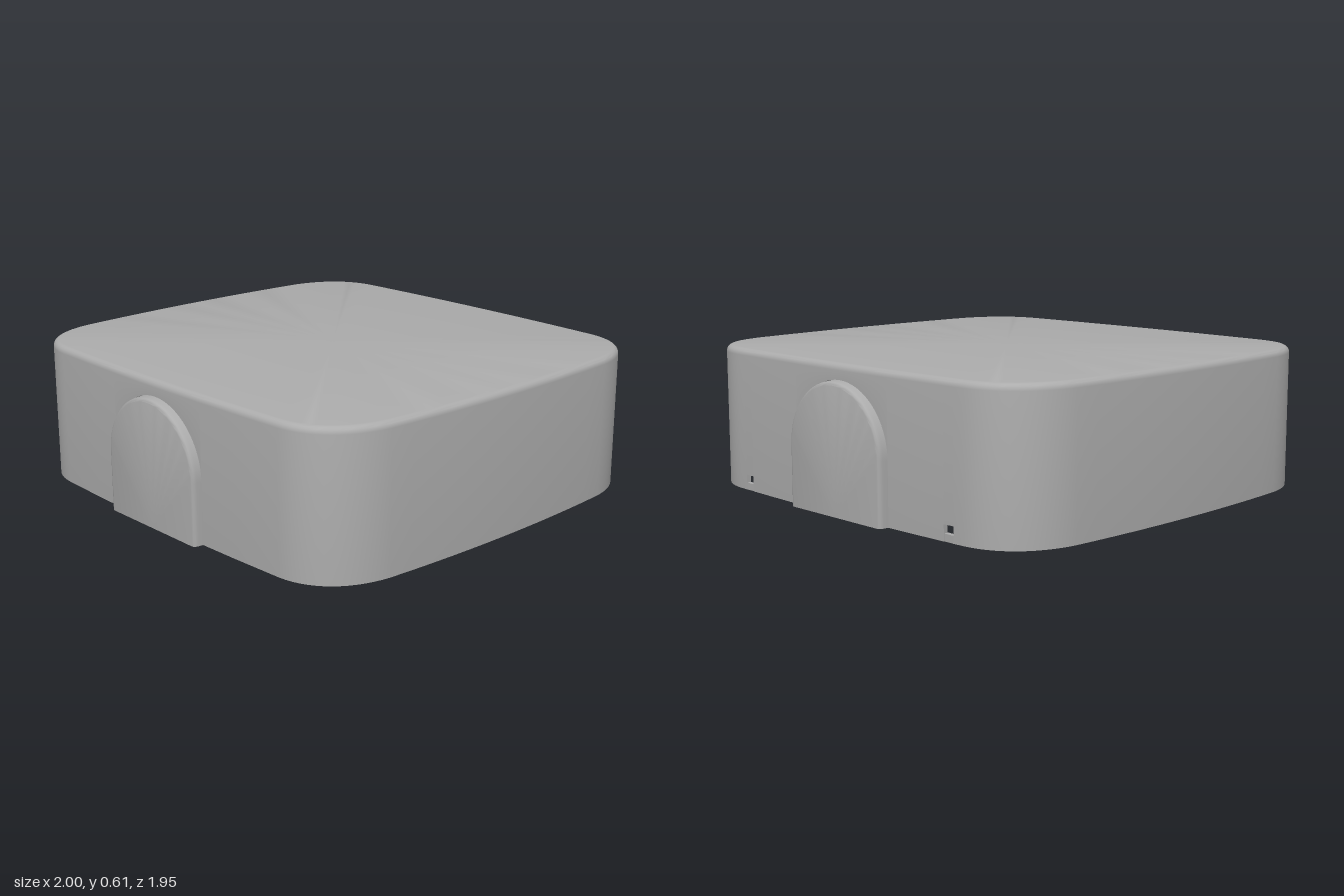
import * as THREE from 'three';
import { toCreasedNormals } from 'three/addons/utils/BufferGeometryUtils.js';

const grey = new THREE.MeshStandardMaterial({ color: 0xacacac });
grey.name = 'plain grey';

const H = 0.605, WALL = 0.02, FILLET = 0.028;
const ARCH_X = -0.015, ARCH_R = 0.28, ARCH_LEG = 0.26;
const CEILING = H - WALL;

function mesh(name, geometry, parent, x = 0, y = 0, z = 0) {
  const m = new THREE.Mesh(geometry, grey);
  m.name = name;
  m.position.set(x, y, z);
  parent.add(m);
  return m;
}

// Skin a grid of points: columns of equal length, optionally wrapping round
function loft(columns, closed) {
  const rows = columns[0].length, n = columns.length, index = [];
  for (let i = 0; i < (closed ? n : n - 1); i++) {
    for (let j = 0; j < rows - 1; j++) {
      const a = i * rows + j, b = ((i + 1) % n) * rows + j;
      index.push(a, b, b + 1, a, b + 1, a + 1);
    }
  }
  const g = new THREE.BufferGeometry();
  g.setAttribute('position', new THREE.Float32BufferAttribute(columns.flat(2), 3));
  g.setIndex(index);
  return toCreasedNormals(g, 0.6);
}

// Long wall, left to right: entries are x, z and the height of its lower edge
function longWall(vents) {
  const run = [];
  const add = (x, y0) => run.push({ x, z: 0.937 - 0.017 * (x / 0.69) ** 2, y0 });
  const vent = (x) => {
    add(x - 0.025, 0); add(x - 0.025, 0.065);
    add(x + 0.025, 0.065); add(x + 0.025, 0);
  };
  add(-0.69, 0);
  if (vents) vent(-0.62);
  add(-0.45, 0);
  add(ARCH_X - ARCH_R, 0);
  for (let i = 0; i <= 32; i++) {
    const a = Math.PI * i / 32;
    add(ARCH_X - ARCH_R * Math.cos(a), ARCH_LEG + ARCH_R * Math.sin(a));
  }
  add(ARCH_X + ARCH_R, 0);
  add(0.45, 0);
  if (vents) vent(0.62);
  add(0.69, 0);
  return run;
}

// Hollow lid, open below, with gently bowed sides and notches for arches and vents
function shellGeometry() {
  const corner = new THREE.CubicBezierCurve(
    new THREE.Vector2(0.69, 0.92), new THREE.Vector2(0.855, 0.911),
    new THREE.Vector2(0.955, 0.79), new THREE.Vector2(0.975, 0.62)
  ).getPoints(14).slice(1).map((p) => ({ x: p.x, z: p.y, y0: 0 }));
  const half = [...corner];
  for (let i = 1; i <= 6; i++) {
    const z = 0.62 * (1 - i / 6);
    half.push({ x: 1 - 0.025 * (z / 0.62) ** 2, z, y0: 0 });
  }
  const right = [...half, ...half.slice(0, -1).reverse().map((p) => ({ ...p, z: -p.z }))];
  const left = [...right].reverse().map((p) => ({ ...p, x: -p.x }));
  const back = longWall(true).reverse().map((p) => ({ ...p, z: -p.z }));
  const ring = [...longWall(false), ...right, ...back, ...left];
  const n = ring.length;

  const neighbour = (i, step) => {
    let k = i, p = ring[i];
    do { k = (k + step + n) % n; } while (Math.hypot(ring[k].x - p.x, ring[k].z - p.z) < 1e-6);
    return ring[k];
  };
  const columns = ring.map((p, i) => {
    const a = neighbour(i, -1), b = neighbour(i, 1);
    const len = Math.hypot(b.x - a.x, b.z - a.z);
    const nx = -(b.z - a.z) / len, nz = (b.x - a.x) / len;
    const at = (inset, y) => [p.x - nx * inset, y, p.z - nz * inset];
    const column = [[0, CEILING, 0], at(WALL, CEILING), at(WALL, p.y0), at(0, p.y0)];
    for (let k = 0; k <= 5; k++) {
      const t = Math.PI / 2 * k / 5;
      column.push(at(FILLET * (1 - Math.cos(t)), H - FILLET * (1 - Math.sin(t))));
    }
    column.push([0, H, 0]);
    return column;
  });
  return loft(columns, true);
}

// Hollow arched bulge, rounded towards its front face
function archCover(name, cx, parent) {
  const group = new THREE.Group();
  group.name = name;
  parent.add(group);
  const profile = [[WALL, 0.957], [WALL, 0.912], [0, 0.912], [0.003, 0.955],
    [0.006, 0.967], [0.011, 0.973], [0.018, 0.975]];
  const column = (angle, base) => [
    [cx, 0, 0.957],
    ...profile.map(([k, z]) => base
      ? [cx + Math.sign(Math.cos(angle)) * (ARCH_R - k), 0, z]
      : [cx + (ARCH_R - k) * Math.cos(angle), ARCH_LEG + (ARCH_R - k) * Math.sin(angle), z]),
    [cx, 0, 0.975]
  ];
  const columns = [column(0, true)];
  for (let i = 0; i <= 32; i++) columns.push(column(Math.PI * i / 32, false));
  columns.push(column(Math.PI, true));
  mesh('archSkin', loft(columns, false), group);
  // Lower rim closing the thickness of the skin
  mesh('archRim', new THREE.BoxGeometry(0.525, 0.01, 0.017), group, cx, 0.005, 0.966);
  for (const s of [-1, 1]) {
    mesh('archLegRim', new THREE.BoxGeometry(0.015, 0.01, 0.045), group,
      cx + s * (ARCH_R - 0.012), 0.005, 0.935);
  }
  return group;
}

export function createModel() {
  const model = new THREE.Group();
  model.name = 'cover';
  mesh('shell', shellGeometry(), model);

  archCover('frontArch', ARCH_X, model);
  archCover('backArch', -ARCH_X, model).rotation.y = Math.PI;

  // Strips below the two vents in the back wall
  for (const x of [-0.62, 0.62]) {
    mesh('ventSill', new THREE.BoxGeometry(0.052, 0.03, WALL), model, x, 0.015, -0.912);
  }

  // Mounting plate with four screws inside one side wall
  const w = 0.31, top = CEILING, low = 0.07, r = 0.05;
  const outline = new THREE.Shape();
  outline.moveTo(-w, top);
  outline.lineTo(-w, low + r);
  outline.quadraticCurveTo(-w, low, -w + r, low);
  outline.lineTo(w - r, low);
  outline.quadraticCurveTo(w, low, w, low + r);
  outline.lineTo(w, top);
  const plate = new THREE.ExtrudeGeometry(outline, { depth: 0.04, bevelEnabled: false });
  mesh('mountingPlate', plate.rotateY(Math.PI / 2), model, -0.985, 0, 0);
  for (const z of [-0.25, 0.25]) {
    for (const y of [0.18, 0.48]) {
      const screw = new THREE.CylinderGeometry(0.02, 0.02, 0.02, 16).rotateZ(Math.PI / 2);
      mesh('plateScrew', screw, model, -0.94, y, z);
    }
  }

  // Studs under the ceiling
  const studs = [[-0.46, 0.774], [0.02, 0.774], [0.5, 0.774], [-0.83, 0.32]];
  for (const [x, z] of studs) {
    mesh('ceilingStud', new THREE.CylinderGeometry(0.03, 0.03, 0.03, 20), model, x, CEILING - 0.015, z);
  }

  // Open ring hanging from the ceiling
  const clip = new THREE.Shape();
  clip.absarc(0, 0, 0.08, -0.1, 4.6, false);
  clip.absarc(0, 0, 0.062, 4.6, -0.1, true);
  const clipGeometry = new THREE.ExtrudeGeometry(clip, { depth: 0.035, bevelEnabled: false, curveSegments: 24 });
  mesh('ceilingClip', clipGeometry.rotateX(Math.PI / 2), model, -0.61, CEILING, 0.21);

  return model;
}
